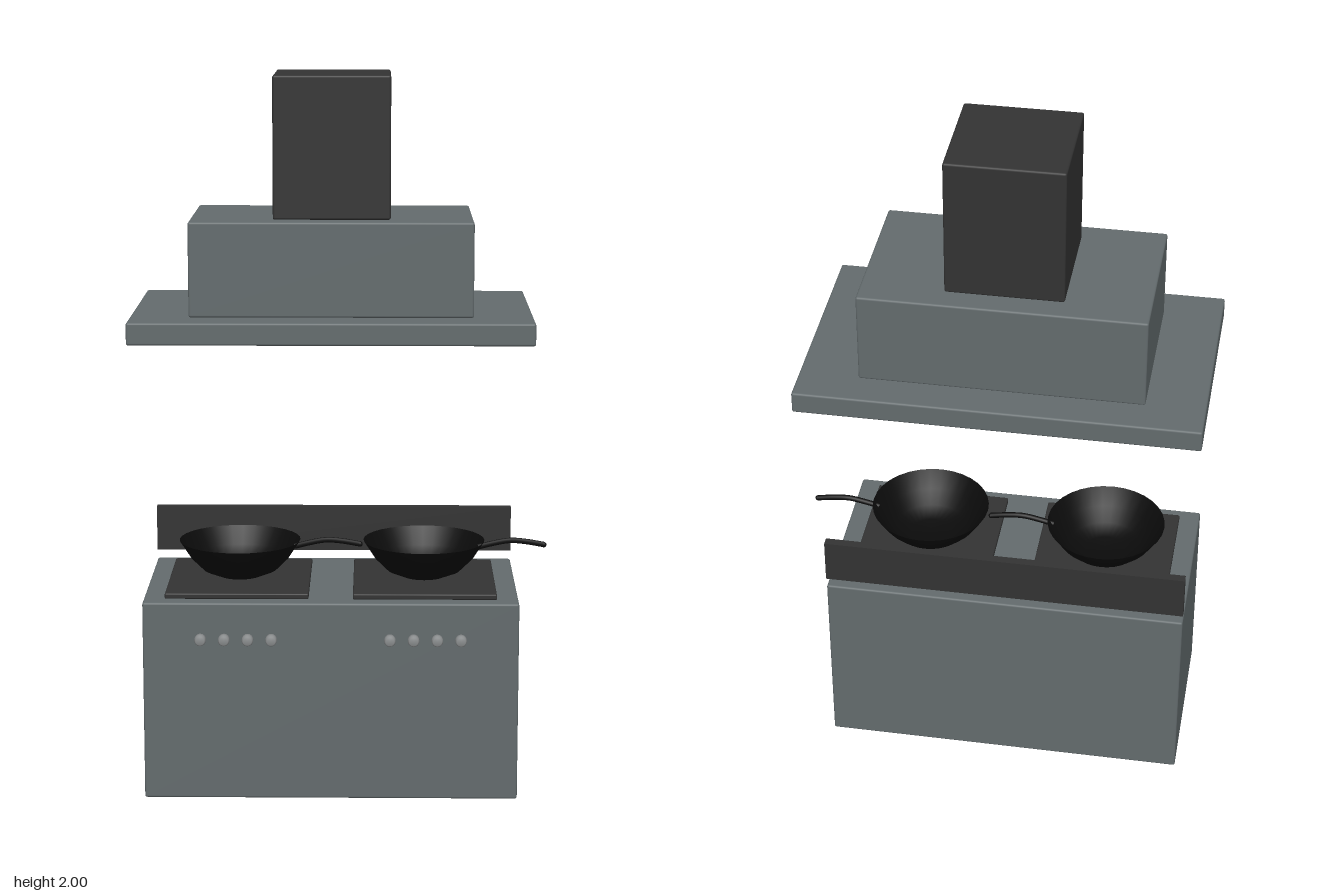
import * as THREE from 'three';
import { RoundedBoxGeometry } from 'three/addons/geometries/RoundedBoxGeometry.js';

export function createModel() {
  const model = new THREE.Group();
  model.name = 'stoveAndHood';

  const material = (name, color, side = THREE.FrontSide) => {
    const m = new THREE.MeshStandardMaterial({ color, side });
    m.name = name;
    return m;
  };
  const steel = material('steel grey', 0x636b6d);
  const charcoal = material('charcoal', 0x333333);
  const iron = material('black iron', 0x0b0b0b, THREE.DoubleSide);
  const knobGrey = material('knob grey', 0x8c8f90);

  const add = (name, geometry, mat, parent = model) => {
    const mesh = new THREE.Mesh(geometry, mat);
    mesh.name = name;
    parent.add(mesh);
    return mesh;
  };
  // Softly bevelled box given by its limits on each axis
  const box = (name, mat, [x0, x1], [y0, y1], [z0, z1], bevel = 0.006) => {
    const geometry = bevel
      ? new RoundedBoxGeometry(x1 - x0, y1 - y0, z1 - z0, 2, bevel)
      : new THREE.BoxGeometry(x1 - x0, y1 - y0, z1 - z0);
    add(name, geometry, mat).position.set((x0 + x1) / 2, (y0 + y1) / 2, (z0 + z1) / 2);
  };

  // Extractor hood, stacked from brim to chimney
  box('hoodBrim', steel, [-0.58, 0.53], [1.283, 1.345], [-0.335, 0.315]);
  box('hoodBody', steel, [-0.417, 0.365], [1.345, 1.607], [-0.237, 0.215]);
  box('chimney', charcoal, [-0.187, 0.137], [1.607, 2], [-0.173, 0.152]);

  // Stove cabinet and the panel behind the hob
  box('cabinet', steel, [-0.547, 0.495], [0, 0.564], [-0.203, 0.315]);
  box('backPanel', charcoal, [-0.547, 0.495], [0.593, 0.724], [-0.205, -0.18], 0);

  // Wok cross-section and handle path, shared by both woks
  const bowl = [[0, 0.583], [0.06, 0.583], [0.105, 0.602], [0.14, 0.637], [0.172, 0.687]];
  const wokGeometry = new THREE.LatheGeometry(bowl.map(([x, y]) => new THREE.Vector2(x, y)), 32);
  const handlePath = new THREE.CatmullRomCurve3(
    [[0.155, 0.665], [0.19, 0.674], [0.245, 0.684], [0.29, 0.681], [0.343, 0.672]]
      .map(([x, y]) => new THREE.Vector3(x, y, 0)));
  const handleGeometry = new THREE.TubeGeometry(handlePath, 16, 0.008, 8);

  for (const [side, x] of [['right', -0.288], ['left', 0.235]]) {
    // Hob plate
    box(side + 'HobPlate', charcoal, [x - 0.2, x + 0.2], [0.564, 0.58], [-0.13, 0.273], 0.004);

    // Wok with its handle pointing sideways
    const wok = new THREE.Group();
    wok.name = side + 'Wok';
    wok.position.set(x, 0, 0.07);
    model.add(wok);
    add('bowl', wokGeometry, iron, wok);
    add('handle', handleGeometry, iron, wok).position.z = -0.005;
    const tip = add('handleEnd', new THREE.SphereGeometry(0.008, 8, 6), iron, wok);
    tip.position.set(0.341, 0.672, -0.005);
  }

  // Two rows of four knobs
  const knobGeometry = new THREE.LatheGeometry(
    [[0, -0.01], [0.016, -0.01], [0.016, 0.013], [0.012, 0.018], [0, 0.018]]
      .map(([r, y]) => new THREE.Vector2(r, y)), 16);
  knobGeometry.rotateX(Math.PI / 2);
  for (const start of [-0.387, 0.138]) {
    for (let i = 0; i < 4; i++) {
      add('knob', knobGeometry, knobGrey).position.set(start + i * 0.0655, 0.461, 0.317);
    }
  }

  return model;
}
